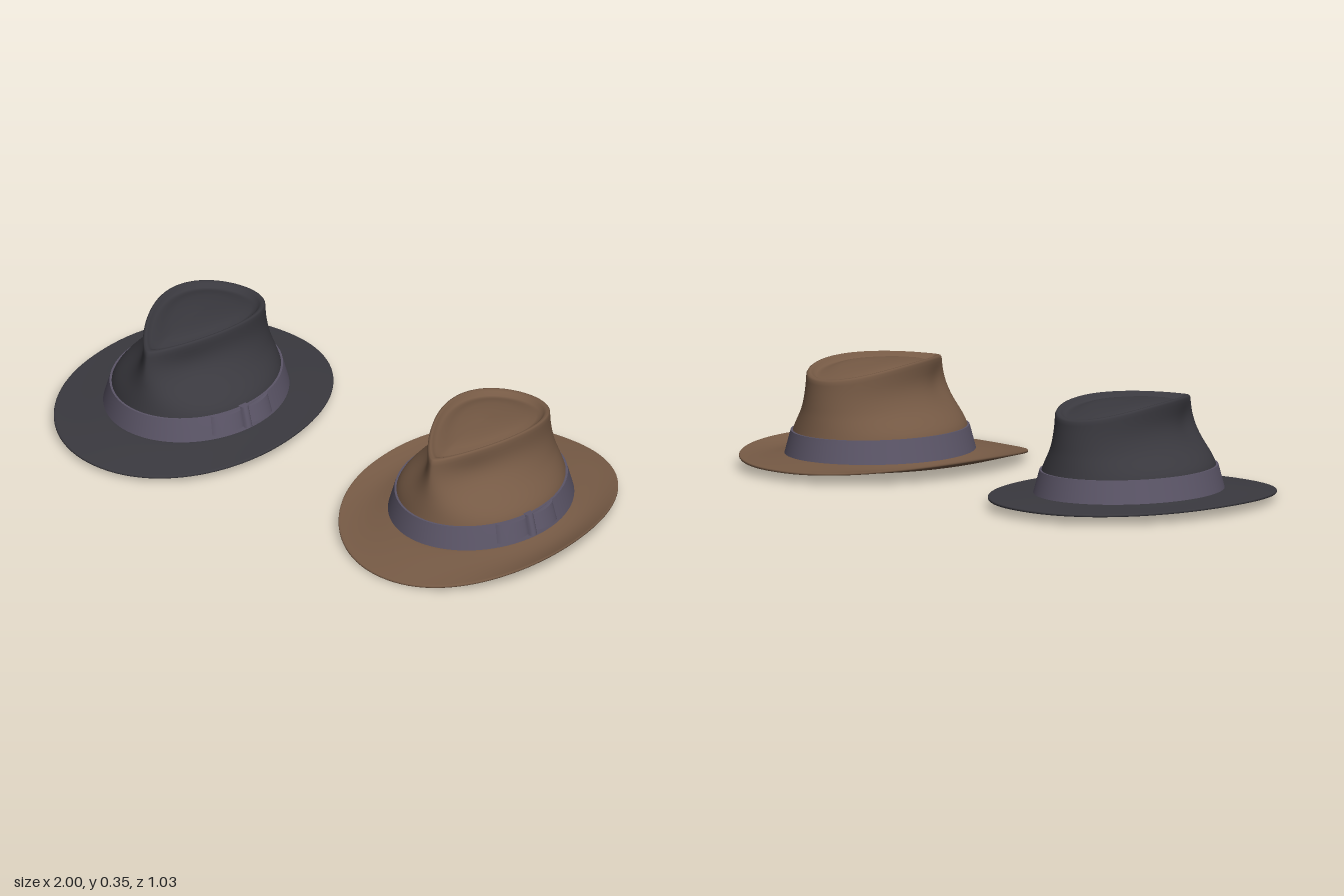
import * as THREE from 'three';

const lerp = THREE.MathUtils.lerp;
const smooth = THREE.MathUtils.smoothstep;
const gauss = (v, w) => Math.exp(-(v * v) / (w * w));

// Skin a stack of rows; each row maps an angle (0 = front, growing toward +x) to a point
function loft(rows, n, a0 = 0, a1 = Math.PI * 2) {
  const closed = a1 - a0 > 6.28;
  const cols = closed ? n : n + 1;
  const pos = [], idx = [];
  for (const row of rows)
    for (let j = 0; j < cols; j++) pos.push(...row(a0 + ((a1 - a0) * j) / n));
  for (let i = 0; i < rows.length - 1; i++)
    for (let j = 0; j < n; j++) {
      const k = (j + 1) % cols;
      const p = i * cols + j, q = i * cols + k;
      idx.push(p, q, q + cols, p, q + cols, p + cols);
    }
  const g = new THREE.BufferGeometry();
  g.setAttribute('position', new THREE.Float32BufferAttribute(pos, 3));
  g.setIndex(idx);
  g.computeVertexNormals();
  return g;
}

// Crown sections: height, half width, front reach, back reach
const SECTIONS = [
  [0.045, 0.283, 0.312, 0.362],
  [0.125, 0.26, 0.292, 0.342],
  [0.2, 0.224, 0.277, 0.327],
  [0.28, 0.198, 0.263, 0.315],
  [0.36, 0.178, 0.25, 0.305],
];
function section(y) {
  let i = 0;
  while (i < SECTIONS.length - 2 && y > SECTIONS[i + 1][0]) i++;
  const A = SECTIONS[i], B = SECTIONS[i + 1];
  const t = THREE.MathUtils.clamp((y - A[0]) / (B[0] - A[0]), 0, 1);
  return [1, 2, 3].map((k) => lerp(A[k], B[k], t));
}

// Point on the crown wall: oval at the base, pinched to a teardrop at the top
function wall(a, y, off = 0) {
  const [w, f, b] = section(y);
  const s = Math.sin(a), c = Math.cos(a);
  const tear = 0.202 * s * (0.25 + 0.75 * Math.abs(Math.sin(a / 2)));
  let x = lerp(w * s, tear, smooth(y, 0.13, 0.31));
  let z = (f - b) / 2 + ((f + b) / 2) * c;
  // finger dents on both sides of the front
  const side = Math.acos(THREE.MathUtils.clamp(c, -1, 1));
  const dent = 1 - 0.1 * gauss(side - 0.9, 0.42) * gauss(y - 0.25, 0.06);
  x *= dent;
  z *= dent;
  return [x + off * s, y, z + off * c];
}

// Height of the crown's upper rim, falling away to front and back
const rimY = (z) => 0.357 - (z > 0 ? 0.3 * z * z : 0.45 * z * z);
function crownAt(a, u, off) {
  const rim = rimY(-0.0275 + 0.2775 * Math.cos(a));
  return wall(a, lerp(0.045, rim, u), off);
}
// Point on the crown top, shrunk toward its middle
function topAt(a, scale, drop, off) {
  const p = crownAt(a, 1, 0);
  const x = p[0] * scale, z = -0.05 + (p[2] + 0.05) * scale;
  return [x, rimY(z) - drop + off, z];
}

// Point on the brim: r = 0 at the crown, 1 at the outer edge
function brimAt(a, r, style, off) {
  const s = Math.sin(a), c = Math.cos(a);
  const pw = (v, e) => Math.sign(v) * Math.pow(Math.abs(v), e);
  const e = c > 0 ? 0.97 : 0.91;
  const p = wall(a, 0.045);
  const edge = lerp(style.side, c > 0 ? style.front : style.back, c * c);
  const y = lerp(0.048, edge, Math.pow(r, 1.4)) - style.dip * Math.sin(Math.PI * r) * s * s;
  return [
    lerp(p[0], 0.417 * pw(s, e), r),
    y + off,
    lerp(p[2], (c > 0 ? 0.515 : 0.52) * pw(c, e), r),
  ];
}

// Felt body: inside of crown, underside of brim, brim top, outside of crown
function feltGeometry(style) {
  const T = 0.008;
  const top = [
    [0.985, 0.002], [0.95, 0.001], [0.91, 0.007], [0.86, 0.02], [0.79, 0.022],
    [0.68, 0.014], [0.5, 0.009], [0.25, 0.008], [0, 0.008],
  ];
  const us = [];
  for (let i = 0; i <= 22; i++) us.push((i / 22) * 0.97);
  const rs = [0, 0.08, 0.18, 0.3, 0.42, 0.54, 0.66, 0.78, 0.88, 0.95, 0.99];
  const rows = [];
  const inner = [...top].reverse();
  inner.forEach(([k, d]) => rows.push((a) => topAt(a, k * 0.96, d, -T)));
  [...us].reverse().forEach((u) => rows.push((a) => crownAt(a, u * 0.97, -T)));
  rs.forEach((r) => rows.push((a) => brimAt(a, Math.max(r, 0.01), style, -T)));
  rows.push((a) => brimAt(a, 1, style, -T * 0.7));
  rows.push((a) => brimAt(a, 1, style, -T * 0.3));
  [...rs].reverse().forEach((r) => rows.push((a) => brimAt(a, r, style, 0)));
  us.forEach((u) => rows.push((a) => crownAt(a, u, 0)));
  top.forEach(([k, d]) => rows.push((a) => topAt(a, k, d, 0)));
  return loft(rows, 96);
}

// Ribbon strip around the crown; doubled rows keep its edges crisp
function ribbonGeometry(a0, a1, n, y0, y1, thick) {
  const at = (k, out) => (a) => {
    const t = (a - a0) / (a1 - a0);
    return wall(a, lerp(y0(t), y1(t), k), out ? thick(t) : -0.002);
  };
  const rows = [at(0, false), at(0, true)];
  for (let i = 0; i <= 5; i++) rows.push(at(i / 5, true));
  rows.push(at(1, true), at(1, false));
  return loft(rows, n, a0, a1);
}

function makeHat(name, felt, ribbon, style) {
  const hat = new THREE.Group();
  hat.name = name;
  const add = (part, geometry, material) => {
    const m = new THREE.Mesh(geometry, material);
    m.name = part;
    hat.add(m);
  };
  add('feltBody', feltGeometry(style), felt);
  add('hatBand', ribbonGeometry(0, Math.PI * 2, 96, () => 0.046, () => 0.125, () => 0.007), ribbon);

  // Flat bow on the hat's left side
  const puff = (t) => 0.005 + 0.015 * Math.sqrt(Math.max(0, Math.sin(Math.PI * t)));
  const low = (flip) => (t) => 0.061 + 0.005 * (flip ? 1 - t : t);
  const high = (flip) => (t) => 0.125 - 0.005 * (flip ? 1 - t : t);
  add('bowFrontLoop', ribbonGeometry(0.88, 1.27, 14, low(false), high(false), puff), ribbon);
  add('bowBackLoop', ribbonGeometry(1.33, 1.68, 14, low(true), high(true), puff), ribbon);
  add('bowKnot', ribbonGeometry(1.25, 1.35, 8, () => 0.058, () => 0.129, (t) => puff(t) + 0.003), ribbon);
  return hat;
}

export function createModel() {
  const mat = (name, color) => {
    const m = new THREE.MeshStandardMaterial({ color });
    m.name = name;
    return m;
  };
  const brown = mat('brownFelt', 0x765a45);
  const charcoal = mat('charcoalFelt', 0x3a393f);
  const ribbon = mat('slateRibbon', 0x5b5567);

  const model = new THREE.Group();
  model.name = 'hats';
  const left = makeHat('brownHat', brown, ribbon, { front: 0.009, side: 0.06, back: 0.037, dip: 0.014 });
  const right = makeHat('charcoalHat', charcoal, ribbon, { front: 0.021, side: 0.04, back: 0.037, dip: 0.002 });
  left.position.x = 0.583;
  right.position.x = -0.583;
  model.add(left, right);
  return model;
}
